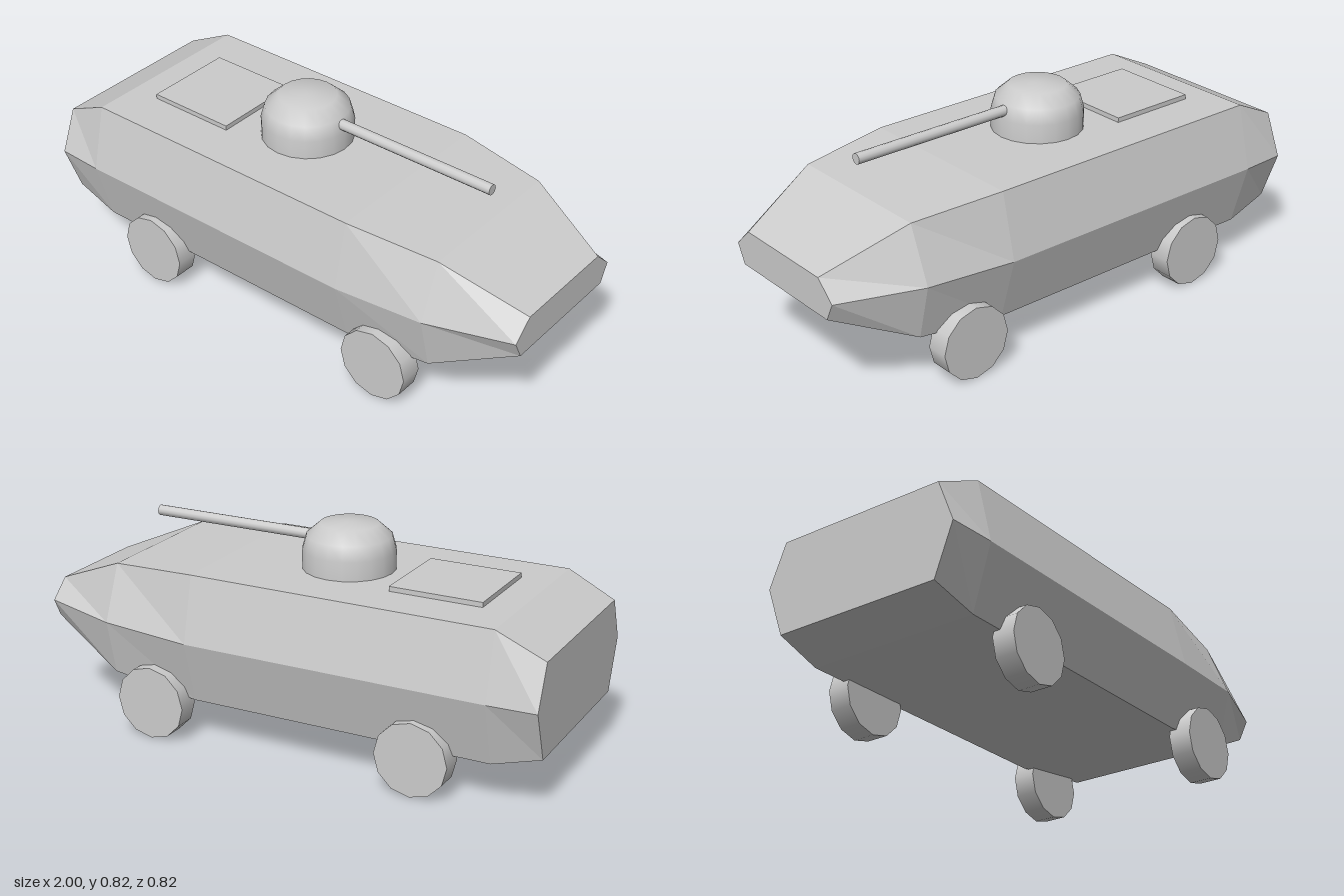
import * as THREE from 'three';

const grey = new THREE.MeshStandardMaterial({ color: 0xcccccc });
const flatGrey = new THREE.MeshStandardMaterial({ color: 0xcccccc, flatShading: true });

// Hull cross-sections: x, then [y, half width] at roof edge, waist and floor edge
const sections = [
  [-1.0, [0.56, 0.335], [0.4, 0.4], [0.21, 0.33]],
  [-0.82, [0.645, 0.35], [0.4, 0.408], [0.16, 0.34]],
  [0.34, [0.645, 0.35], [0.4, 0.408], [0.16, 0.34]],
  [0.69, [0.62, 0.3], [0.415, 0.385], [0.205, 0.335]],
  [1.0, [0.49, 0.21], [0.42, 0.285], [0.35, 0.25]],
];

// Join the six-sided sections into a closed faceted body
function hullGeometry() {
  const rings = sections.map(([x, ...edges]) => [
    ...edges.map(([y, z]) => [x, y, z]),
    ...edges.slice().reverse().map(([y, z]) => [x, y, -z]),
  ]);
  const positions = [];
  const tri = (a, b, c) => positions.push(...a, ...b, ...c);
  for (let s = 0; s < rings.length - 1; s++) {
    for (let i = 0; i < 6; i++) {
      const j = (i + 1) % 6;
      tri(rings[s][i], rings[s][j], rings[s + 1][j]);
      tri(rings[s][i], rings[s + 1][j], rings[s + 1][i]);
    }
  }
  const rear = rings[0];
  const nose = rings[rings.length - 1];
  for (let i = 1; i < 5; i++) {
    tri(nose[0], nose[i], nose[i + 1]);
    tri(rear[0], rear[i + 1], rear[i]);
  }
  const geometry = new THREE.BufferGeometry();
  geometry.setAttribute('position', new THREE.Float32BufferAttribute(positions, 3));
  geometry.computeVertexNormals();
  return geometry;
}

export function createModel() {
  const model = new THREE.Group();
  model.name = 'armouredCar';
  const add = (name, geometry, x, y, z, material = grey) => {
    const mesh = new THREE.Mesh(geometry, material);
    mesh.name = name;
    mesh.position.set(x, y, z);
    model.add(mesh);
    return mesh;
  };

  add('hull', hullGeometry(), 0, 0, 0, flatGrey);

  // Rear deck hatch
  add('hatch', new THREE.BoxGeometry(0.35, 0.04, 0.35), -0.53, 0.643, 0);

  // Domed turret
  const profile = [
    [0.171, 0.63], [0.171, 0.715], [0.156, 0.768], [0.107, 0.811], [0.018, 0.818], [0, 0.818],
  ].map(([r, y]) => new THREE.Vector2(r, y));
  add('turret', new THREE.LatheGeometry(profile, 20), -0.113, 0, 0);

  // Gun barrel, starting inside the turret
  const barrel = new THREE.CylinderGeometry(0.02, 0.02, 0.69, 12).rotateZ(-Math.PI / 2);
  add('gunBarrel', barrel, 0.345, 0.745, 0);

  // Four wheels
  const wheel = new THREE.CylinderGeometry(0.138, 0.138, 0.086, 12).rotateX(Math.PI / 2);
  for (const [end, x] of [['rear', -0.55], ['front', 0.5]]) {
    for (const [side, z] of [['Left', -0.357], ['Right', 0.357]]) {
      add(`${end}${side}Wheel`, wheel, x, 0.138, z);
    }
  }
  return model;
}
